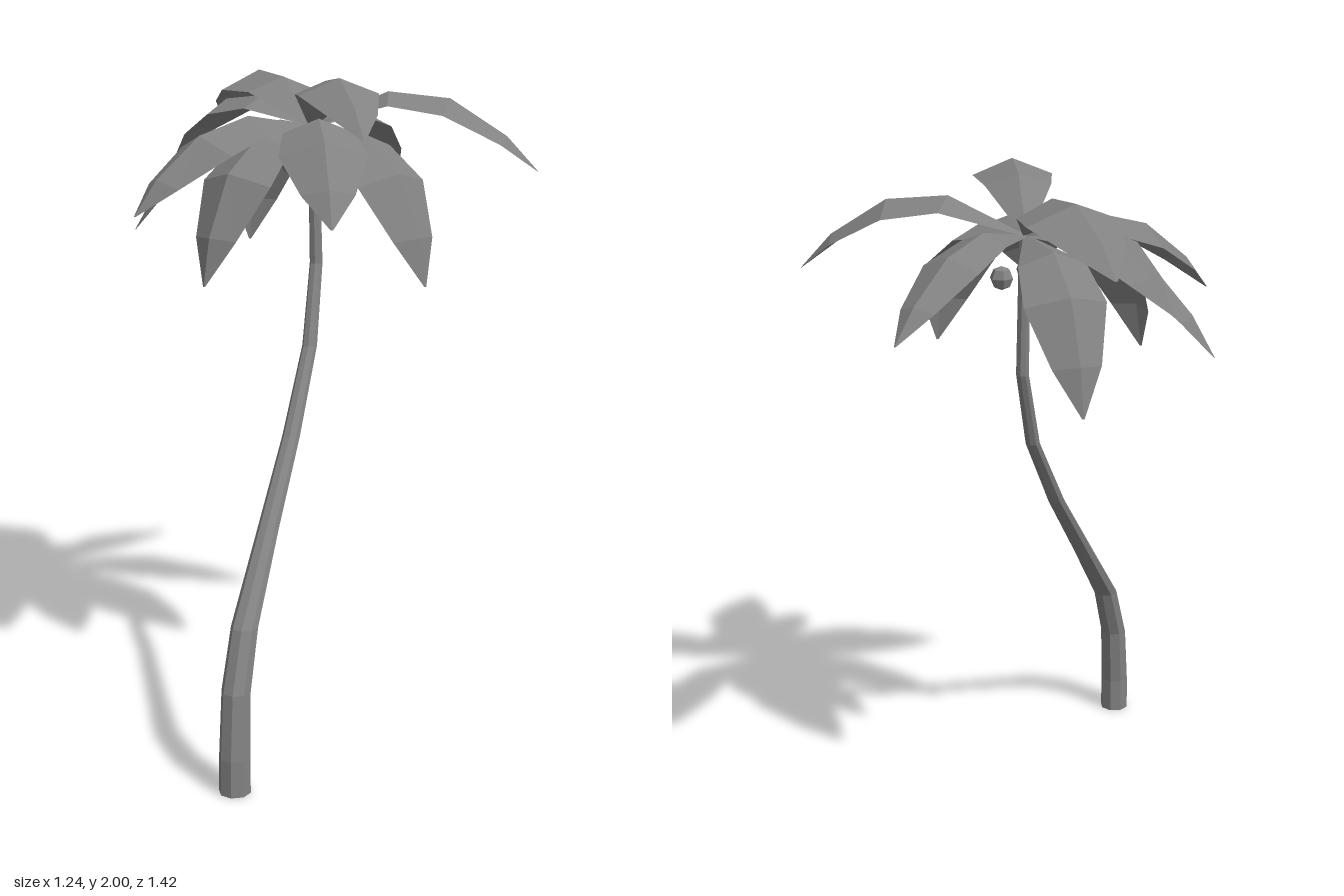
import * as THREE from 'three';

const V = (x, y, z) => new THREE.Vector3(x, y, z);
const material = new THREE.MeshStandardMaterial({ color: 0x828282, flatShading: true });
const leafMaterial = new THREE.MeshStandardMaterial({ color: 0x828282, flatShading: true, side: THREE.DoubleSide });
const HUB = V(-0.07, 1.83, -0.13);

// Trunk rings: x, y, z, radius
const RINGS = [
  [-0.142, 0, 0.666, 0.047],
  [-0.142, 0.11, 0.664, 0.046],
  [-0.142, 0.3, 0.637, 0.043],
  [-0.132, 0.47, 0.565, 0.04],
  [-0.106, 0.7, 0.362, 0.032],
  [-0.078, 0.93, 0.158, 0.027],
  [-0.056, 1.17, -0.02, 0.023],
  [-0.054, 1.41, -0.115, 0.02],
  [-0.065, 1.83, -0.13, 0.017],
];

// Bends a plain cylinder through the rings
function makeTrunk() {
  const n = RINGS.length - 1;
  const geo = new THREE.CylinderGeometry(1, 1, 1, 8, n);
  const pos = geo.attributes.position;
  for (let i = 0; i < pos.count; i++) {
    const [x, y, z, r] = RINGS[Math.round((pos.getY(i) + 0.5) * n)];
    pos.setXYZ(i, x + pos.getX(i) * r, y, z + pos.getZ(i) * r);
  }
  geo.computeVertexNormals();
  return new THREE.Mesh(geo, material);
}

// Stations along a frond: position, relative half width
const STATIONS = [[0, 0.08], [0.32, 0.82], [0.59, 1], [0.85, 0.6], [1, 0.03]];

// Frond folded along its midrib, arching from the hub to the tip
function makeFrond(tip, lift, bend, width) {
  const reach = tip.clone().sub(HUB);
  const control = V(HUB.x + reach.x * bend, HUB.y + lift, HUB.z + reach.z * bend);
  const curve = new THREE.QuadraticBezierCurve3(HUB, control, tip);
  const side = V(reach.z, 0, -reach.x).normalize();
  const points = [];
  const index = [];
  STATIONS.forEach(([t, w], i) => {
    const mid = curve.getPoint(t);
    const normal = curve.getTangent(t).cross(side);
    const half = w * width;
    const edge = (s) => mid.clone().addScaledVector(side, s * half).addScaledVector(normal, -0.4 * half);
    points.push(edge(1), mid, edge(-1));
    if (i > 0) {
      const b = i * 3, a = b - 3;
      index.push(a + 1, b + 1, b, a + 1, b, a);
      index.push(a + 1, a + 2, b + 2, a + 1, b + 2, b + 1);
    }
  });
  const geo = new THREE.BufferGeometry().setFromPoints(points);
  geo.setIndex(index);
  geo.computeVertexNormals();
  return new THREE.Mesh(geo, leafMaterial);
}

// Fronds: tip x, y, z, lift of the arch, how far out it bends, half width
const FRONDS = [
  [0.18, 1.85, 0.39, 0.335, 0.42, 0.12],
  [-0.45, 1.81, -0.54, 0.31, 0.45, 0.142],
  [0.615, 1.7, -0.18, 0.27, 0.54, 0.11],
  [0.11, 1.63, -0.71, 0.14, 0.55, 0.095],
  [-0.57, 1.7, -0.41, 0.21, 0.55, 0.107],
  [-0.5, 1.61, 0.33, 0.15, 0.61, 0.136],
  [0.09, 1.6, 0.39, 0.15, 0.61, 0.13],
  [-0.62, 1.5, -0.08, 0.12, 0.6, 0.105],
  [-0.3, 1.41, 0.32, 0.085, 0.88, 0.127],
  [0.33, 1.41, 0.2, 0.085, 0.88, 0.127],
  [-0.35, 1.41, -0.49, 0.085, 0.88, 0.122],
];

// Nuts hanging under the crown
const NUTS = [[-0.01, 1.71, -0.175], [-0.055, 1.715, -0.07], [-0.14, 1.705, -0.165]];

export function createModel() {
  const model = new THREE.Group();
  model.name = 'palmTree';

  const trunk = makeTrunk();
  trunk.name = 'trunk';
  model.add(trunk);

  const crown = new THREE.Group();
  crown.name = 'crown';
  FRONDS.forEach(([x, y, z, lift, bend, width], i) => {
    const frond = makeFrond(V(x, y, z), lift, bend, width);
    frond.name = `frond${i + 1}`;
    crown.add(frond);
  });
  model.add(crown);

  const nuts = new THREE.Group();
  nuts.name = 'coconuts';
  NUTS.forEach((p, i) => {
    const nut = new THREE.Mesh(new THREE.SphereGeometry(0.035, 6, 4), material);
    nut.position.set(...p);
    nut.name = `coconut${i + 1}`;
    nuts.add(nut);
  });
  model.add(nuts);

  return model;
}
